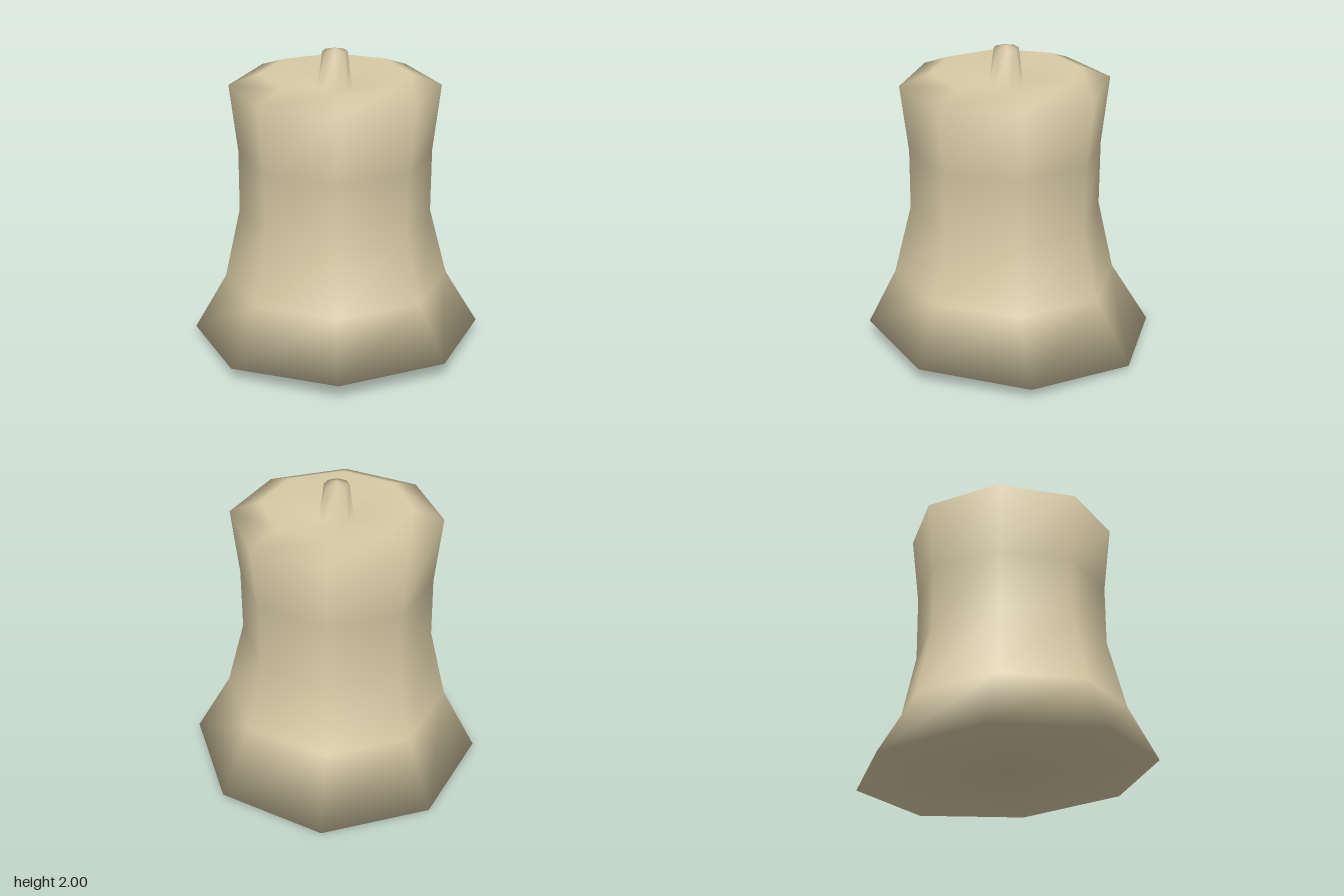
import * as THREE from 'three';

const SIDES = 8;

// Cross-sections from the underside to the tip: [y, radius, centre x, centre z, tilt in x, tilt in z]
const RINGS = [
  [0.06, 0.955, -0.003, -0.004, -0.032, 0.056], // flared rim
  [0.45, 0.735, -0.03, 0.02, -0.02, 0.035],     // skirt
  [0.91, 0.625, -0.03, 0.012, -0.03, 0.015],    // waist
  [1.32, 0.625, -0.027, 0.012, 0, 0],           // upper waist
  [1.76, 0.675, -0.027, 0.012, 0, -0.006],      // shoulder
  [1.835, 0.48, -0.027, 0.01, 0, 0],            // crown edge
  [1.74, 0.11, -0.027, 0.008, 0, 0],            // knob base in the dished crown
  [1.98, 0.08, -0.027, 0.008, 0, 0]             // knob top
];

// Joins the rings into one closed, smooth skin
function skin(rings, bottom, top) {
  const pos = [], idx = [];
  for (const [y, r, cx, cz, tx, tz] of rings) {
    for (let i = 0; i < SIDES; i++) {
      const a = (i / SIDES) * Math.PI * 2;
      const x = Math.sin(a) * r, z = Math.cos(a) * r;
      pos.push(cx + x, y + tx * x + tz * z, cz + z);
    }
  }
  const b = pos.length / 3, t = b + 1;
  pos.push(...bottom, ...top);
  const last = (rings.length - 1) * SIDES;
  for (let i = 0; i < SIDES; i++) {
    const j = (i + 1) % SIDES;
    for (let k = 0; k < last; k += SIDES) {
      idx.push(k + i, k + j, k + SIDES + j, k + i, k + SIDES + j, k + SIDES + i);
    }
    idx.push(b, j, i, t, last + i, last + j); // underside and knob tip
  }
  const g = new THREE.BufferGeometry();
  g.setAttribute('position', new THREE.Float32BufferAttribute(pos, 3));
  g.setIndex(idx);
  g.computeVertexNormals();
  return g;
}

export function createModel() {
  const group = new THREE.Group();
  group.name = 'bell';
  const cream = new THREE.MeshStandardMaterial({ color: 0xd9cba6 });
  cream.name = 'cream';

  // Bell body with its knob
  const body = new THREE.Mesh(skin(RINGS, [0, 0.06, 0], [-0.027, 2, 0.008]), cream);
  body.name = 'bellBody';
  group.add(body);
  return group;
}
